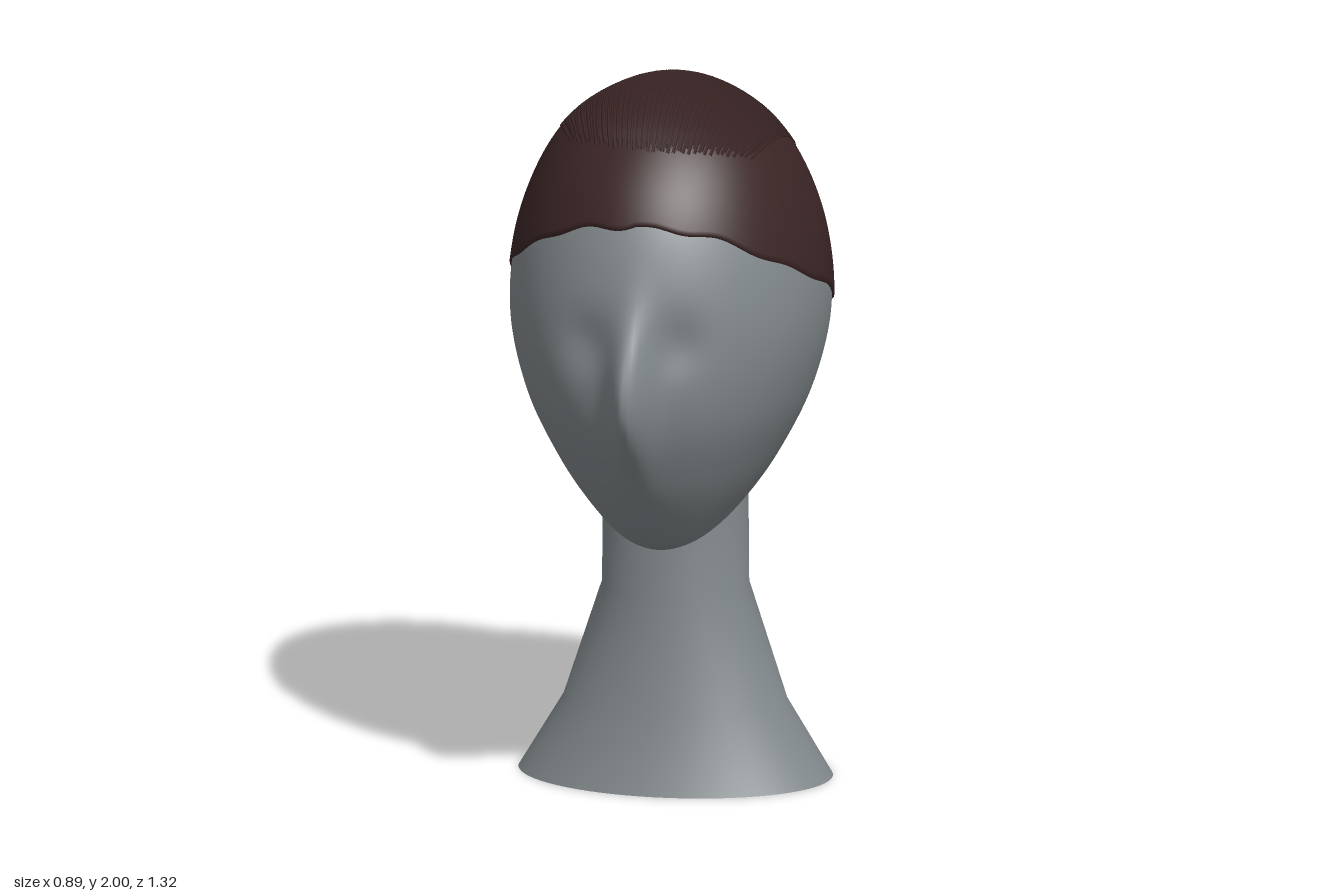
import * as THREE from 'three';
import { mergeGeometries } from 'three/addons/utils/BufferGeometryUtils.js';

const MID = 1.3325, HALF = 0.6525; // centre height and half height of the head

// head sections from crown to chin: half width, front z, back z, centre z
const SECTIONS = [
  [0, 0.03, 0.03, 0.03], [0.14, 0.20, -0.15, 0.02], [0.278, 0.345, -0.285, 0.01],
  [0.37, 0.46, -0.385, 0], [0.426, 0.525, -0.46, 0], [0.438, 0.55, -0.49, 0],
  [0.392, 0.535, -0.46, 0], [0.306, 0.455, -0.385, 0], [0.208, 0.345, -0.28, 0.02],
  [0.108, 0.235, -0.1, 0.08], [0, 0.12, 0.12, 0.12],
];

// smooth interpolation through evenly spaced keys, t in 0..1
function keyed(keys, t) {
  const n = keys.length - 1, f = Math.min(Math.max(t, 0), 1) * n;
  const i = Math.min(Math.floor(f), n - 1), u = f - i;
  const b = keys[i], c = keys[i + 1];
  const a = i > 0 ? keys[i - 1] : 2 * b - c, d = i < n - 1 ? keys[i + 2] : 2 * c - b;
  return b + 0.5 * u * (c - a + u * (2 * a - 5 * b + 4 * c - d + u * (3 * (b - c) + d - a)));
}
const COLUMNS = [0, 1, 2, 3].map(k => SECTIONS.map(s => s[k]));
const section = phi => COLUMNS.map(c => keyed(c, phi / Math.PI));

// point on the skull: phi runs from crown to chin, a runs round from the front
function skull(phi, a) {
  const [w, zf, zb, c] = section(phi), k = Math.cos(a);
  return new THREE.Vector3(w * Math.sin(a), MID + HALF * Math.cos(phi),
    c + k * (k > 0 ? zf - c : c - zb));
}

// skull with nose and eye sockets
function face(phi, a) {
  const p = skull(phi, a);
  if (Math.cos(a) > 0) {
    const bump = (x, y, sx, sy) => Math.exp(-(((p.x - x) / sx) ** 2) - ((p.y - y) / sy) ** 2);
    p.z += 0.113 * bump(0, 1.205, 0.055, 0.19)
      - 0.022 * (bump(0.13, 1.36, 0.07, 0.08) + bump(-0.13, 1.36, 0.07, 0.08));
  }
  return p;
}

// closed-round surface from a rule fn(row 0..1, angle)
function loft(rows, around, fn) {
  const pos = [], idx = [];
  for (let j = 0; j <= rows; j++)
    for (let i = 0; i < around; i++) pos.push(...fn(j / rows, i / around * Math.PI * 2).toArray());
  for (let j = 0; j < rows; j++)
    for (let i = 0; i < around; i++) {
      const a = j * around + i, b = j * around + (i + 1) % around;
      idx.push(a, a + around, b, b, a + around, b + around);
    }
  const g = new THREE.BufferGeometry();
  g.setAttribute('position', new THREE.Float32BufferAttribute(pos, 3));
  g.setIndex(idx);
  g.computeVertexNormals();
  return g;
}

const CENTRE = new THREE.Vector3(0, 1.3, 0);
const lift = (p, s) => p.sub(CENTRE).multiplyScalar(s).add(CENTRE);

// pushes a point along its ray from the centre onto the skull
function project(p, s) {
  const d = p.clone().sub(CENTRE).normalize(), q = new THREE.Vector3();
  let lo = 0.1, hi = 1;
  for (let i = 0; i < 22; i++) {
    const r = (lo + hi) / 2;
    q.copy(d).multiplyScalar(r).add(CENTRE);
    const h = (q.y - MID) / HALF;
    let outside = Math.abs(h) >= 1;
    if (!outside) {
      const [w, zf, zb, c] = section(Math.acos(h));
      outside = (q.x / w) ** 2 + ((q.z - c) / (q.z > c ? zf - c : c - zb)) ** 2 > 1;
    }
    if (outside) hi = r; else lo = r;
  }
  return lift(q, s);
}

// height of the hairline from front to back
const HAIRLINE = [1.685, 1.65, 1.54, 1.42, 1.3, 1.215, 1.15];
function hairlinePhi(a) {
  const t = Math.abs(a > Math.PI ? 2 * Math.PI - a : a) / Math.PI;
  const y = keyed(HAIRLINE, t) + 0.007 * Math.sin(a * 13) * (1 - t);
  return Math.acos((y - MID) / HALF);
}

// fine strands combed back from the crown into the bun
function strands(count) {
  const list = [];
  for (let i = 0; i < count; i++) {
    const t = i / (count - 1) * 2 - 1, k = 1 - t * t;
    const front = 0.2 + 0.14 * k + 0.02 * Math.sin(i * 2.3);
    const guide = new THREE.CatmullRomCurve3([
      [0.25 * t + 0.02, 1.83 + 0.05 * k, front],
      [0.31 * t, 1.84 + 0.15 * k, 0],
      [0.285 * t, 1.69 + 0.13 * k, -0.28 - 0.06 * k],
      [0.16 * t, 1.44, -0.47],
      [0.05 * t, 1.16, -0.48],
    ].map(v => new THREE.Vector3(...v)));
    const path = new THREE.CatmullRomCurve3(guide.getPoints(24).map(p => project(p, 1.013)));
    list.push(new THREE.TubeGeometry(path, 36, 0.0055, 4));
  }
  return mergeGeometries(list);
}

// twisted ring of the bun, its ridges winding round the tube
function bunRing() {
  const g = new THREE.TorusGeometry(0.13, 0.098, 20, 360);
  const p = g.attributes.position, v = new THREE.Vector3(), core = new THREE.Vector3();
  for (let i = 0; i < p.count; i++) {
    v.fromBufferAttribute(p, i);
    const u = Math.atan2(v.y, v.x);
    core.set(Math.cos(u) * 0.13, Math.sin(u) * 0.13, 0);
    const around = Math.atan2(v.z, Math.hypot(v.x, v.y) - 0.13);
    v.sub(core).multiplyScalar(1 + 0.03 * Math.sin(60 * u + 3 * around)).add(core);
    p.setXYZ(i, v.x, v.y, v.z);
  }
  g.computeVertexNormals();
  return g;
}

// coil closing the middle of the bun
function bunCoil() {
  const pts = [];
  for (let i = 0; i <= 60; i++) {
    const f = i / 60, a = f * Math.PI * 6, r = 0.008 + 0.1 * f;
    pts.push(new THREE.Vector3(r * Math.cos(a), r * Math.sin(a), -0.076 - 0.008 * f));
  }
  return new THREE.TubeGeometry(new THREE.CatmullRomCurve3(pts), 160, 0.019, 8);
}

// neck rings from top to base: y, half width, front z, back z
const NECK = [[0.84, 0.2, 0.14, -0.255], [0.54, 0.203, 0.145, -0.255],
  [0.21, 0.312, 0.172, -0.283], [0, 0.438, 0.242, -0.355]];

export function createModel() {
  const skin = new THREE.MeshStandardMaterial({ color: 0x82898c, side: THREE.DoubleSide });
  skin.name = 'mannequin grey';
  const hair = new THREE.MeshStandardMaterial({ color: 0x3b2525, side: THREE.DoubleSide });
  hair.name = 'dark brown hair';

  const model = new THREE.Group();
  model.name = 'mannequinHead';
  const add = (name, geometry, material, parent = model) => {
    const m = new THREE.Mesh(geometry, material);
    m.name = name;
    parent.add(m);
    return m;
  };

  add('head', loft(90, 168, (v, a) => face(v * Math.PI, a)), skin);
  add('neck', loft(3, 72, (v, a) => {
    const [y, w, zf, zb] = NECK[Math.round(v * 3)];
    return new THREE.Vector3(w * Math.sin(a), y, (zf + zb) / 2 + (zf - zb) / 2 * Math.cos(a));
  }), skin);

  // hair cap, its last row tucked in to the skull
  add('hairCap', loft(50, 168, (v, a) => {
    const p = skull(Math.min(v / 0.98, 1) * hairlinePhi(a), a);
    return v > 0.99 ? lift(p, 0.99) : lift(p, 1.014);
  }), hair);
  add('hairStrands', strands(100), hair);

  const bun = new THREE.Group();
  bun.name = 'bun';
  bun.position.set(0, 1.105, -0.557);
  bun.scale.y = 0.9;
  add('bunRing', bunRing(), hair, bun);
  add('bunCoil', bunCoil(), hair, bun);
  model.add(bun);
  return model;
}
